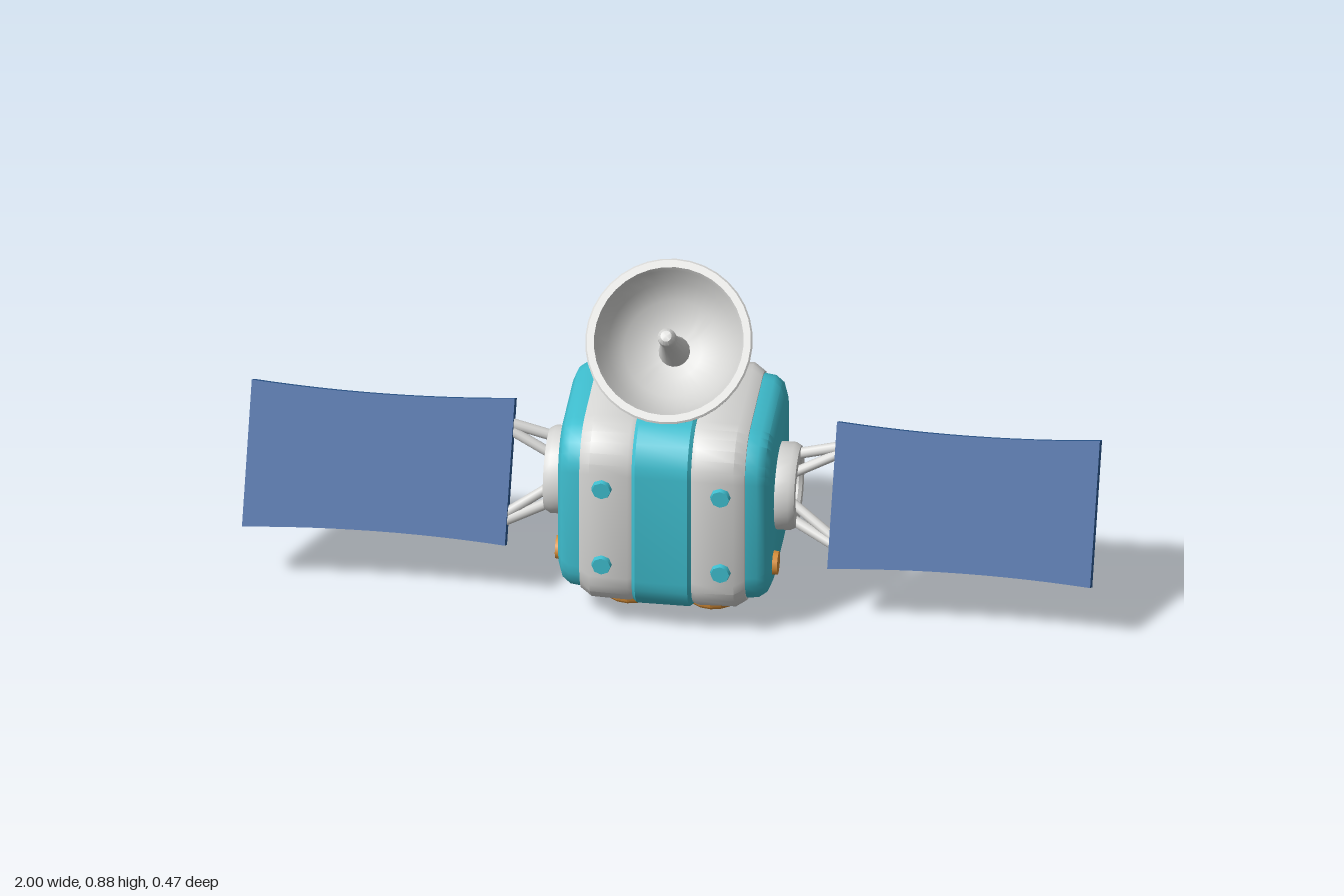
import * as THREE from 'three';
import { toCreasedNormals } from 'three/addons/utils/BufferGeometryUtils.js';

function makeMaterial(name, color) {
  const m = new THREE.MeshStandardMaterial({ color });
  m.name = name;
  return m;
}

const V = (x, y, z) => new THREE.Vector3(x, y, z);

export function createModel() {
  const model = new THREE.Group();
  model.name = 'satellite';
  const teal = makeMaterial('teal', 0x3fbfd0);
  const white = makeMaterial('lightGrey', 0xd8d8d6);
  const blue = makeMaterial('panelBlue', 0x2f5f9b);
  const orange = makeMaterial('orange', 0xdb9038);

  function add(name, geometry, material, parent = model) {
    const mesh = new THREE.Mesh(geometry, material);
    mesh.name = name;
    parent.add(mesh);
    return mesh;
  }

  // Cylinder between two points
  function rod(name, a, b, ra, rb, material, sides = 12) {
    const dir = b.clone().sub(a);
    const mesh = add(name, new THREE.CylinderGeometry(rb, ra, dir.length(), sides), material);
    mesh.position.copy(a).add(b).multiplyScalar(0.5);
    mesh.quaternion.setFromUnitVectors(V(0, 1, 0), dir.normalize());
    return mesh;
  }

  // Rounded-rectangle ring in the zy plane, shrunk by an inset
  function ring(x, inset) {
    const hz = 0.228 - inset, hy = 0.25 - inset, r = 0.105 - inset * 0.4, pts = [];
    for (let c = 0; c < 4; c++) {
      const sz = c === 0 || c === 3 ? 1 : -1, sy = c < 2 ? 1 : -1;
      for (let k = 0; k <= 6; k++) {
        const a = (c + k / 6) * Math.PI / 2;
        pts.push(V(x, 0.3 + sy * (hy - r) + r * Math.sin(a), sz * (hz - r) + r * Math.cos(a)));
      }
    }
    return pts;
  }

  // Closed loft through sections [x, inset], x ascending
  function loft(sections) {
    const rings = sections.map(([x, d]) => ring(x, d));
    const pos = [];
    const tri = (...p) => p.forEach(v => pos.push(v.x, v.y, v.z));
    const n = rings[0].length, last = rings[rings.length - 1];
    const c0 = V(sections[0][0], 0.3, 0), c1 = V(last[0].x, 0.3, 0);
    for (let i = 0; i < n; i++) {
      const j = (i + 1) % n;
      for (let s = 0; s < rings.length - 1; s++) {
        const a = rings[s], b = rings[s + 1];
        tri(a[i], b[i], a[j]);
        tri(b[i], b[j], a[j]);
      }
      tri(c0, rings[0][i], rings[0][j]);
      tri(c1, last[j], last[i]);
    }
    const g = new THREE.BufferGeometry();
    g.setAttribute('position', new THREE.Float32BufferAttribute(pos, 3));
    return toCreasedNormals(g, 0.6);
  }

  const lathe = (pts, sides) => toCreasedNormals(
    new THREE.LatheGeometry(pts.map(p => new THREE.Vector2(...p)), sides), 0.6);

  // Body: centre stripe, then a pale band and an end cap on each side
  add('centreStripe', loft([[-0.07, 0.006], [-0.062, 0], [0.062, 0], [0.07, 0.006]]), teal);
  for (const s of [1, -1]) {
    const side = s > 0 ? 'left' : 'right';
    const mirror = list => s > 0 ? list : list.map(([x, d]) => [-x, d]).reverse();
    add(side + 'Band', loft(mirror([[0.068, 0.009], [0.08, 0.004], [0.17, 0.006], [0.195, 0.02]])), white);
    add(side + 'EndCap', loft(mirror([[0.193, 0.024], [0.222, 0.027], [0.24, 0.038], [0.25, 0.06]])), teal);

    // Hollow hub collar
    const hub = add(side + 'Hub',
      lathe([[0.104, 0], [0.104, 0.036], [0.096, 0.05], [0.064, 0.05], [0.058, 0.042], [0.058, 0]], 28), white);
    hub.position.set(s * 0.246, 0.305, 0);
    hub.rotation.z = -s * Math.PI / 2;

    // Solar panel, slightly waisted in the middle, with its struts in the same tilted frame
    const panelTilt = -0.53;
    const panelGeo = new THREE.BoxGeometry(0.62, 0.345, 0.045, 12, 2, 1);
    const p = panelGeo.attributes.position;
    for (let i = 0; i < p.count; i++) {
      const t = p.getX(i) / 0.31;
      p.setY(i, p.getY(i) * (0.93 + 0.07 * t * t));
    }
    const panel = add(side + 'SolarPanel', toCreasedNormals(panelGeo, 0.5), blue);
    panel.position.set(s * 0.69, 0.306, 0.028);
    panel.rotation.x = panelTilt;
    for (const v of [1, -1]) {
      const tilted = (x, h, z) => V(s * x, h, 0).applyAxisAngle(V(1, 0, 0), panelTilt).add(V(0, 0.305, z));
      rod(side + 'OuterStrut', tilted(0.28, v * 0.075, 0), tilted(0.39, v * 0.115, 0.028), 0.013, 0.013, white);
      rod(side + 'InnerStrut', tilted(0.25, v * 0.015, 0), tilted(0.39, v * 0.1, 0.028), 0.012, 0.012, white);

      // Round side lamps
      rod(side + 'SideLamp', V(s * 0.235, 0.16, v * 0.11), V(s * 0.262, 0.16, v * 0.11), 0.032, 0.028, orange, 10);

      // Rivets on the front and back of each band
      for (const y of [0.405, 0.195]) {
        rod('rivet', V(s * 0.14, y, v * 0.21), V(s * 0.14, y, v * 0.234), 0.027, 0.022, teal, 8);
      }
    }

    // Thruster underneath
    const thruster = add(side + 'Thruster',
      lathe([[0, 0], [0.06, 0], [0.066, 0.008], [0.069, 0.045], [0.078, 0.055], [0.078, 0.075], [0, 0.075]], 16), orange);
    thruster.position.set(s * 0.098, 0, 0.025);
  }

  // Dish assembly, tilted up and forward
  const dish = new THREE.Group();
  dish.name = 'dish';
  dish.position.set(0, 0.74, 0.085);
  dish.rotation.x = 0.82;
  model.add(dish);
  add('dishBowl', lathe([
    [0, -0.188], [0.05, -0.182], [0.1, -0.16], [0.145, -0.122], [0.177, -0.07], [0.193, -0.025], [0.197, -0.004],
    [0.193, 0], [0.176, 0], [0.17, -0.012], [0.15, -0.058], [0.115, -0.1], [0.065, -0.13], [0, -0.14],
  ], 36), white, dish);
  add('dishAntenna', lathe([
    [0.038, -0.14], [0.03, -0.09], [0.02, 0], [0.022, 0.04], [0.021, 0.055], [0.013, 0.066], [0, 0.07],
  ], 16), white, dish);

  // Bracket holding the dish: two ears, a foot, a bolt and a link
  const outline = pts => new THREE.Shape(pts.map(q => new THREE.Vector2(...q)));
  function bracketPart(name, pts, width, x) {
    const g = new THREE.ExtrudeGeometry(outline(pts), { depth: width, bevelEnabled: false });
    g.translate(0, 0, -width / 2);
    const mesh = add(name, g, teal);
    mesh.rotation.y = -Math.PI / 2;
    mesh.position.x = x;
  }
  for (const s of [1, -1]) {
    bracketPart('bracketEar',
      [[-0.21, 0.5], [-0.05, 0.52], [-0.03, 0.585], [-0.085, 0.668], [-0.13, 0.622], [-0.17, 0.575], [-0.222, 0.495]],
      0.028, s * 0.042);
  }
  bracketPart('bracketFoot', [[-0.222, 0.46], [0.03, 0.52], [0.0, 0.552], [-0.09, 0.565], [-0.16, 0.565], [-0.222, 0.495]], 0.13, 0);
  rod('bracketBolt', V(-0.066, 0.602, -0.095), V(0.066, 0.602, -0.095), 0.027, 0.027, white, 10);
  rod('dishLink', V(0, 0.595, -0.105), V(0, 0.635, -0.03), 0.026, 0.032, white);

  return model;
}
